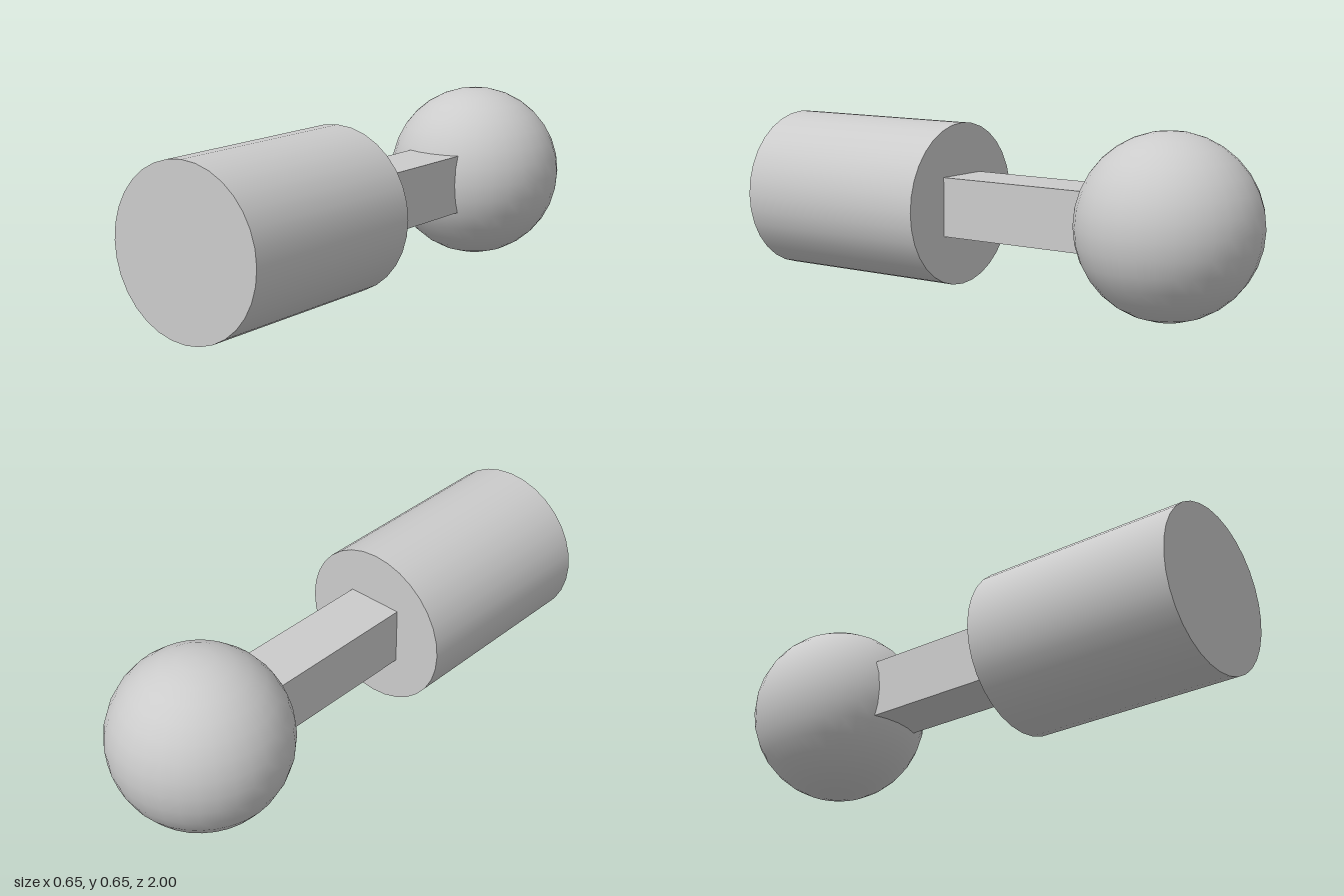
import * as THREE from 'three';

export function createModel() {
  const group = new THREE.Group();
  const material = new THREE.MeshStandardMaterial({ color: 0xcccccc });
  const radius = 0.325; // ball radius, also the height of the common axis

  const add = (name, geometry, z) => {
    const mesh = new THREE.Mesh(geometry, material);
    mesh.name = name;
    mesh.position.set(0, radius, z);
    group.add(mesh);
  };

  // Round handle at the front, lying along z
  add('handle', new THREE.CylinderGeometry(0.3, 0.3, 0.795, 32).rotateX(Math.PI / 2), 0.6025);

  // Square shaft running from the handle into the ball
  add('shaft', new THREE.BoxGeometry(0.217, 0.217, 0.82), -0.19);

  // Ball at the back
  add('ball', new THREE.SphereGeometry(radius, 32, 16), -0.675);

  return group;
}
